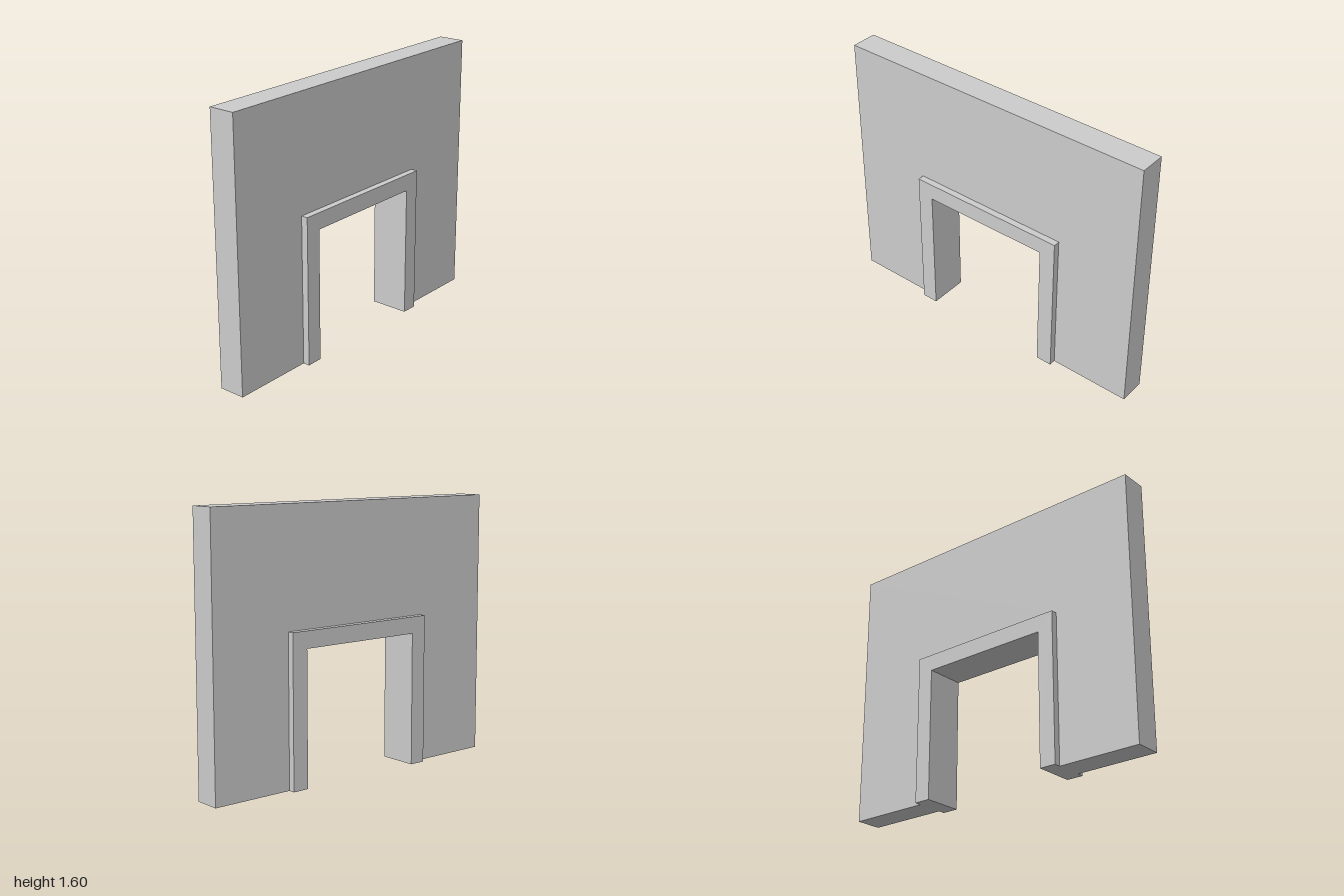
import * as THREE from 'three';

// Upside-down U standing on y = 0, extruded and centred on z = 0
function portal(name, outerHalf, outerTop, innerHalf, innerTop, depth, material) {
  const shape = new THREE.Shape([
    [-outerHalf, 0], [-innerHalf, 0], [-innerHalf, innerTop], [innerHalf, innerTop],
    [innerHalf, 0], [outerHalf, 0], [outerHalf, outerTop], [-outerHalf, outerTop],
  ].map(([x, y]) => new THREE.Vector2(x, y)));
  const geometry = new THREE.ExtrudeGeometry(shape, { depth, bevelEnabled: false });
  geometry.translate(0, 0, -depth / 2);
  const mesh = new THREE.Mesh(geometry, material);
  mesh.name = name;
  return mesh;
}

export function createModel() {
  const grey = new THREE.MeshStandardMaterial({ color: 0xcccccc });
  grey.name = 'light grey';

  const model = new THREE.Group();
  model.name = 'wallWithDoorway';
  // Wall panel, and the door frame that lines the opening and stands proud on both sides
  model.add(
    portal('wall', 1, 1.6, 0.5, 0.9, 0.16, grey),
    portal('doorFrame', 0.5, 0.9, 0.4, 0.8, 0.24, grey),
  );
  return model;
}
